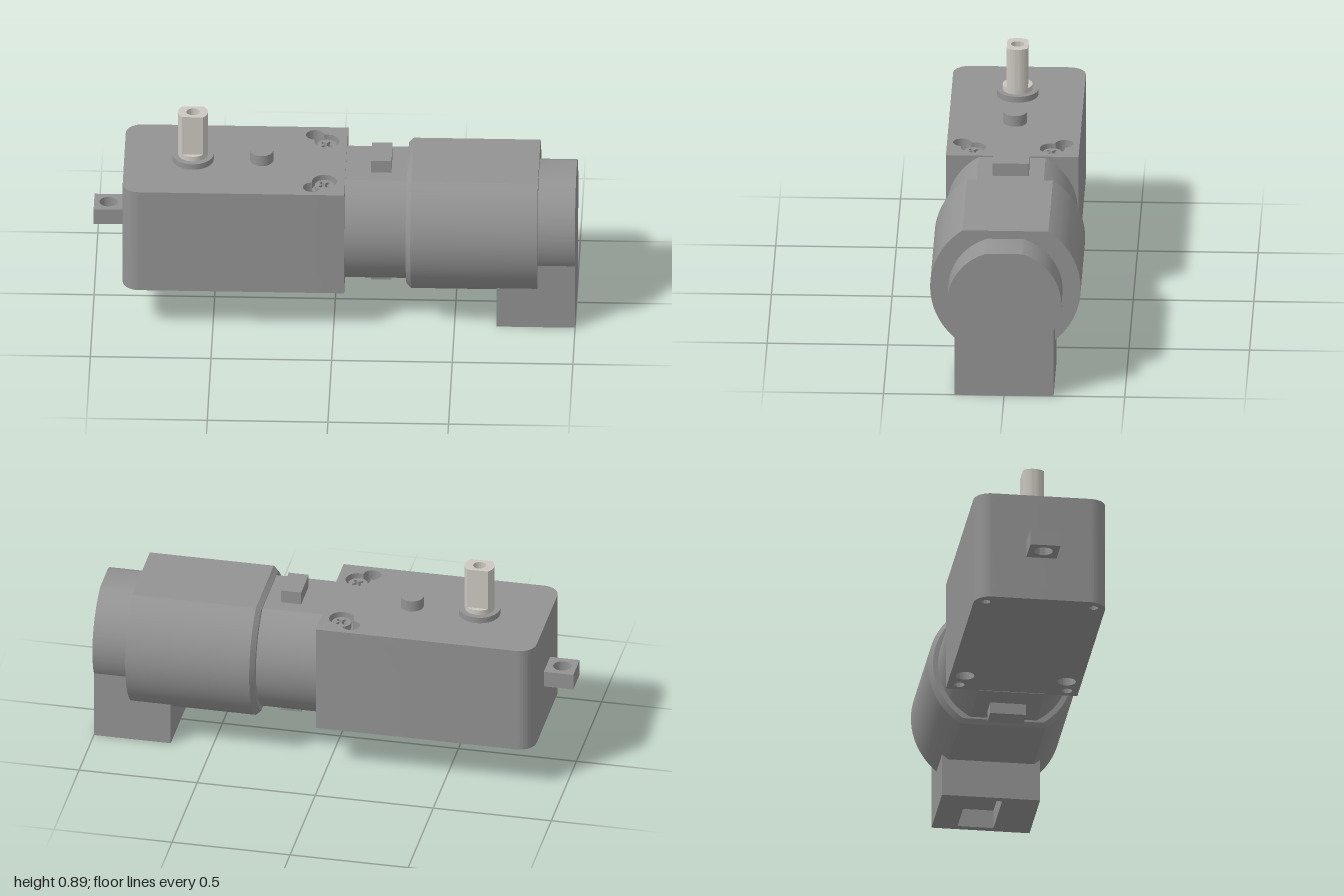
import * as THREE from 'three';
import { toCreasedNormals } from 'three/addons/utils/BufferGeometryUtils.js';

const bodyMat = new THREE.MeshStandardMaterial({ color: 0x939393 });
const shaftMat = new THREE.MeshStandardMaterial({ color: 0xccc8c0 });

export function createModel() {
  const root = new THREE.Group();

  const add = (name, geo, mat = bodyMat) => {
    const mesh = new THREE.Mesh(geo, mat);
    mesh.name = name;
    root.add(mesh);
    return mesh;
  };
  const extrude = (shape, depth) =>
    new THREE.ExtrudeGeometry(shape, { depth, bevelEnabled: false, curveSegments: 28 });
  // Outline in x/z, raised from y0 to y1
  const upright = (shape, y0, y1) =>
    toCreasedNormals(extrude(shape, y1 - y0).rotateX(-Math.PI / 2).translate(0, y0, 0), 0.5);
  // Outline in z/y, run from x0 to x1, optionally narrowed at x0 about height cy
  const along = (shape, x0, x1, startScale = 1, cy = 0) => {
    const geo = extrude(shape, x1 - x0);
    const p = geo.attributes.position;
    for (let i = 0; i < p.count; i++) {
      if (p.getZ(i) > 1e-6) continue;
      p.setXY(i, p.getX(i) * startScale, cy + (p.getY(i) - cy) * startScale);
    }
    return toCreasedNormals(geo.rotateY(Math.PI / 2).translate(x0, 0, 0), 0.5);
  };
  const box = (name, x0, x1, y0, y1, halfZ) =>
    add(name, new THREE.BoxGeometry(x1 - x0, y1 - y0, halfZ * 2)
      .translate((x0 + x1) / 2, (y0 + y1) / 2, 0));
  const disc = (name, x, r, y0, y1, mat) =>
    add(name, new THREE.CylinderGeometry(r, r, y1 - y0, 40).translate(x, (y0 + y1) / 2, 0), mat);
  const circle = (x, y, r) => new THREE.Path().absarc(x, y, r, 0, Math.PI * 2, false);
  const rect = (x0, x1, y0, y1) => new THREE.Shape([
    new THREE.Vector2(x0, y0), new THREE.Vector2(x1, y0),
    new THREE.Vector2(x1, y1), new THREE.Vector2(x0, y1)]);
  // Circle with flats at the top and bottom
  const flatted = (cx, cy, r, h) => {
    const a = Math.asin(h / r), s = new THREE.Shape();
    s.absarc(cx, cy, r, -a, a, false);
    s.absarc(cx, cy, r, Math.PI - a, Math.PI + a, false);
    s.closePath();
    return s;
  };
  // Outline of two overlapping circles
  const joinedCircles = (ax, ay, ra, bx, by, rb) => {
    const d = Math.hypot(bx - ax, by - ay), phi = Math.atan2(by - ay, bx - ax);
    const a = (d * d + ra * ra - rb * rb) / (2 * d);
    const al = Math.acos(a / ra), be = Math.acos((d - a) / rb);
    const path = new THREE.Path();
    path.absarc(ax, ay, ra, phi + al, phi - al + Math.PI * 2, false);
    path.absarc(bx, by, rb, phi + Math.PI + be, phi + Math.PI * 3 - be, false);
    path.closePath();
    return path;
  };

  // Gearbox in three layers: small blind holes below, through holes, screw recesses on top
  const gearboxOutline = () => {
    const x0 = -0.875, x1 = 0.045, z = 0.275, r = 0.07;
    const s = new THREE.Shape();
    s.moveTo(x1, -z);
    s.lineTo(x1, z);
    s.absarc(x0 + r, z - r, r, Math.PI / 2, Math.PI, false);
    s.absarc(x0 + r, r - z, r, Math.PI, Math.PI * 1.5, false);
    s.closePath();
    return s;
  };
  const base = gearboxOutline(), middle = gearboxOutline(), top = gearboxOutline();
  for (const side of [-1, 1]) {
    const through = () => circle(-0.09, side * 0.212, 0.038);
    base.holes.push(through(), circle(-0.82, side * 0.225, 0.018), circle(0.0, side * 0.225, 0.022));
    middle.holes.push(through());
    top.holes.push(joinedCircles(-0.09, side * 0.212, 0.038, -0.04, side * 0.163, 0.052));
  }
  add('gearboxBase', upright(base, 0.19, 0.23));
  add('gearboxBody', upright(middle, 0.23, 0.62));
  add('gearboxTop', upright(top, 0.62, 0.662));

  // Cross-head screws
  for (const side of [-1, 1]) {
    const head = new THREE.Shape().absarc(0, 0, 0.04, 0, Math.PI * 2, false);
    const w = 0.007, l = 0.027;
    head.holes.push(new THREE.Path([[w, w], [w, l], [-w, l], [-w, w], [-l, w], [-l, -w],
      [-w, -w], [-w, -l], [w, -l], [w, -w], [l, -w], [l, w]].map(([x, y]) => new THREE.Vector2(x, y))));
    const screw = add('screw', upright(head, 0, 0.025));
    screw.position.set(-0.04, 0.62, side * 0.163);
    screw.rotation.y = side * 0.7;
  }

  // Mounting tab with a hole
  const tab = rect(-1, -0.87, -0.063, 0.063);
  tab.holes.push(circle(-0.94, 0, 0.038));
  add('mountingTab', upright(tab, 0.38, 0.45));

  // Output shaft with two flats and a bore
  disc('shaftCollar', -0.59, 0.086, 0.655, 0.688);
  disc('shaftBase', -0.59, 0.062, 0.66, 0.71, shaftMat);
  const shaft = flatted(-0.59, 0, 0.062, 0.044);
  shaft.holes.push(circle(-0.59, 0, 0.027));
  add('outputShaft', upright(shaft, 0.71, 0.89), shaftMat);
  disc('topBoss', -0.305, 0.048, 0.655, 0.71);

  // Neck and its clips
  add('neck', along(flatted(0, 0.422, 0.272, 0.234), 0.04, 0.31));
  box('topClip', 0.15, 0.235, 0.64, 0.712, 0.075);
  box('bottomClip', 0.15, 0.235, 0.14, 0.2, 0.075);

  // Motor can with a chamfered leading edge
  const can = flatted(0, 0.42, 0.312, 0.256);
  add('canChamfer', along(can, 0.3, 0.32, 0.94, 0.42));
  add('motorCan', along(can, 0.32, 0.845));

  // End cap: round above, straight sided below
  const cy = 0.415, r = 0.237, up = Math.asin(0.225 / r), down = Math.acos(0.205 / r);
  const cap = new THREE.Shape();
  cap.moveTo(-0.205, 0.08);
  cap.lineTo(0.205, 0.08);
  cap.absarc(0, cy, r, -down, up, false);
  cap.absarc(0, cy, r, Math.PI - up, Math.PI + down, false);
  cap.closePath();
  add('endCap', along(cap, 0.84, 1));

  // Connector block with a socket underneath
  box('connectorBlock', 0.675, 0.9, 0.08, 0.25, 0.205);
  const socket = rect(0.675, 1, -0.205, 0.205);
  socket.holes.push(rect(0.705, 0.97, -0.05, 0.1));
  add('connectorSocket', upright(socket, 0, 0.08));

  return root;
}
